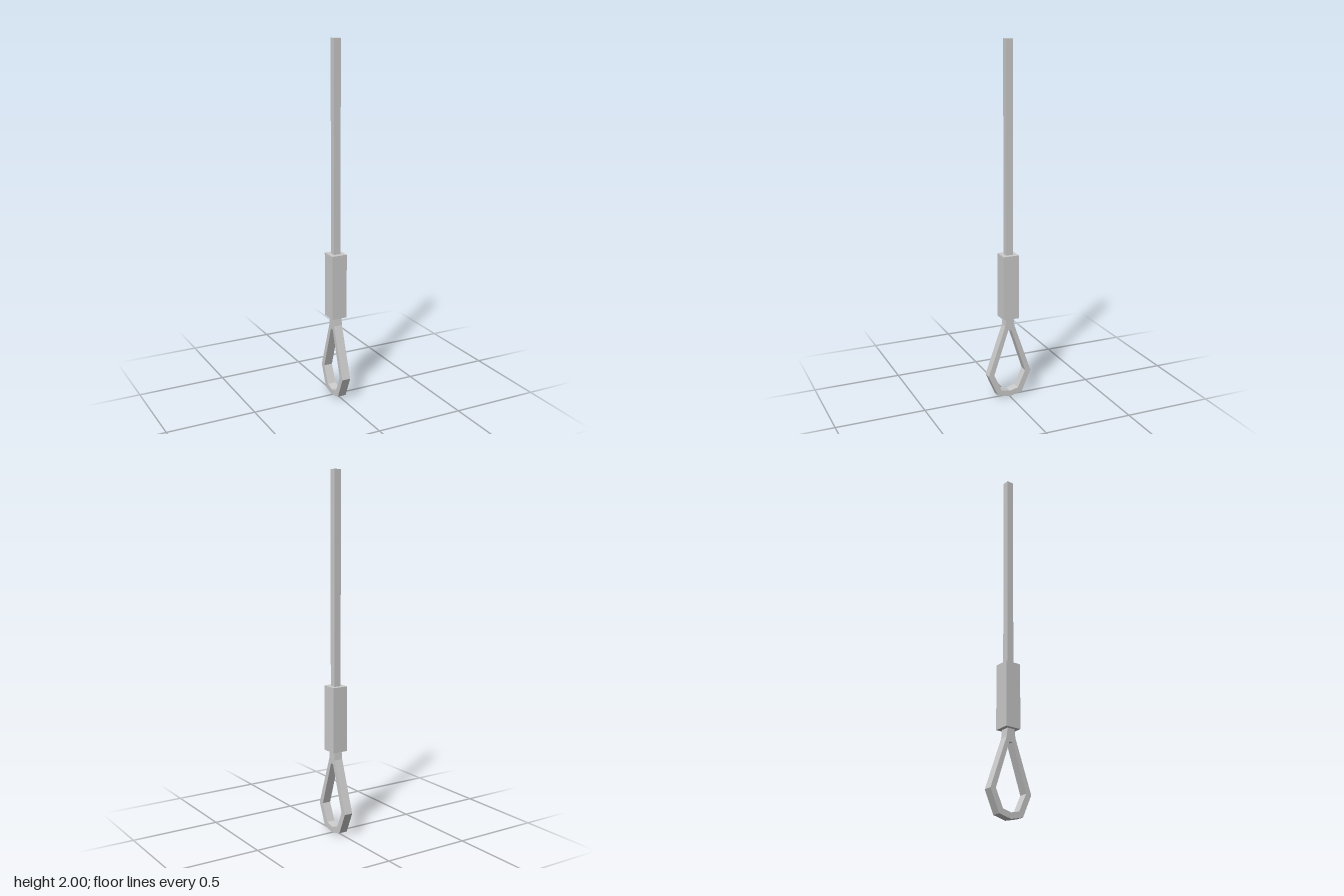
import * as THREE from 'three';

const material = new THREE.MeshStandardMaterial({ color: 0xcccccc, flatShading: true });

// Square bar standing between two heights
function bar(name, width, depth, y0, y1) {
  const mesh = new THREE.Mesh(new THREE.BoxGeometry(width, y1 - y0, depth), material);
  mesh.position.y = (y0 + y1) / 2;
  mesh.name = name;
  return mesh;
}

// Closed symmetric outline from one half, listed from the bottom up
function mirrored(half) {
  const other = half.filter(([x]) => x > 0).reverse().map(([x, y]) => [-x, y]);
  return [...half, ...other].map(([x, y]) => new THREE.Vector2(x, y));
}

export function createModel() {
  const group = new THREE.Group();
  group.name = 'cableWithLoop';

  // Cable and the crimped sleeve below it
  group.add(bar('cable', 0.039, 0.039, 0.83, 2));
  group.add(bar('sleeve', 0.089, 0.091, 0.473, 0.838));

  // Teardrop eye, lying in the y-z plane
  const shape = new THREE.Shape(mirrored([
    [0, 0], [0.074, 0.018], [0.128, 0.14], [0.028, 0.425], [0.022, 0.475],
  ]));
  shape.holes.push(new THREE.Path(mirrored([
    [0, 0.033], [0.05, 0.045], [0.095, 0.143], [0.01, 0.4],
  ])));
  const width = 0.049;
  const geometry = new THREE.ExtrudeGeometry(shape, { depth: width, bevelEnabled: false });
  geometry.translate(0, 0, -width / 2).rotateY(-Math.PI / 2);
  const loop = new THREE.Mesh(geometry, material);
  loop.name = 'loop';
  group.add(loop);

  return group;
}
